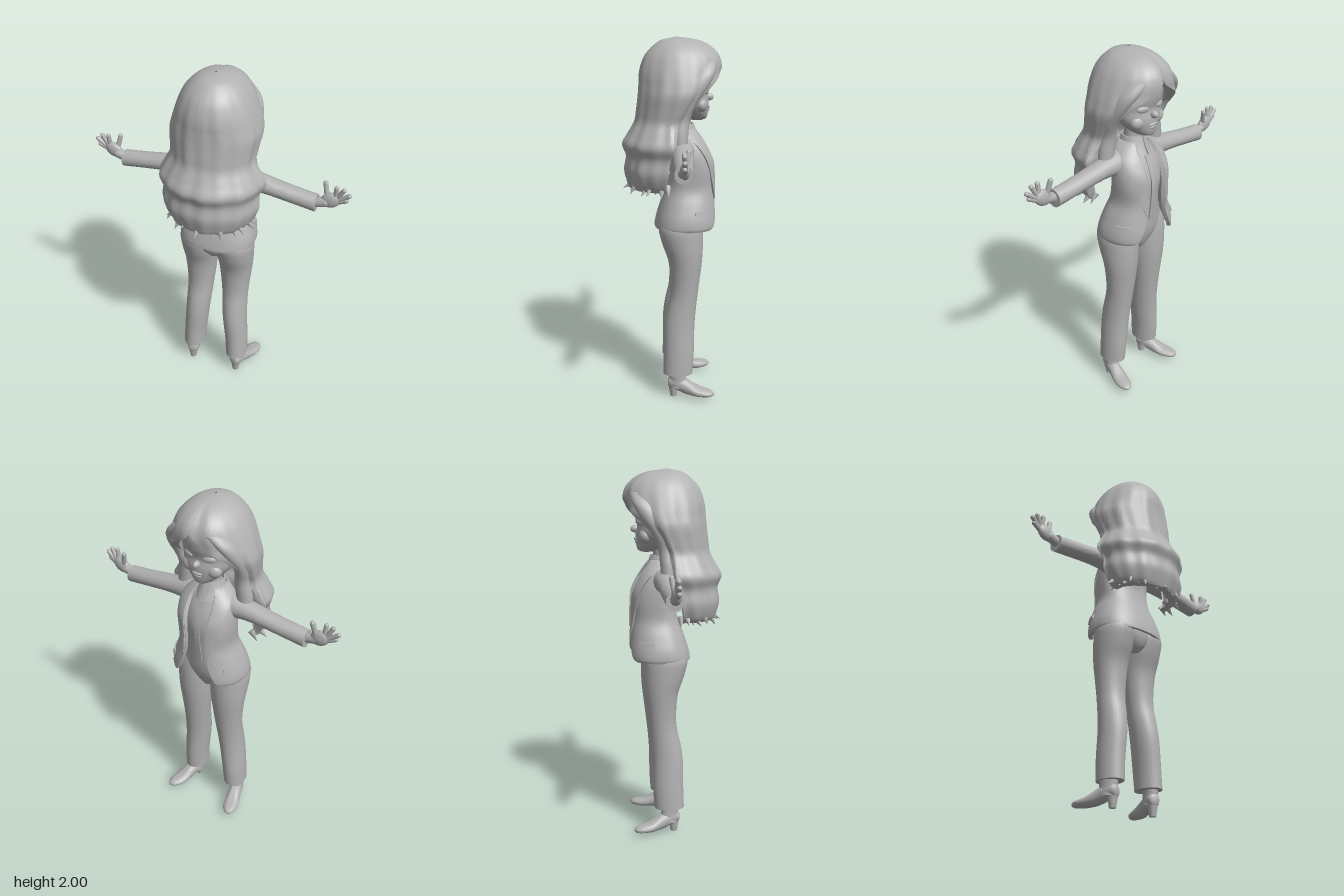
import * as THREE from 'three';
import { toCreasedNormals } from 'three/addons/utils/BufferGeometryUtils.js';

const clay = new THREE.MeshStandardMaterial({ color: 0xb2b2b2 });
clay.name = 'warm grey clay';
const RAD = Math.PI / 180;

// Smoothly subdivide a table of cross-sections
function refine(rows, n = 5) {
  const out = [], at = i => rows[Math.max(0, Math.min(rows.length - 1, i))];
  for (let i = 0; i < rows.length - 1; i++) for (let k = 0; k < n; k++) {
    const t = k / n;
    out.push(rows[i].map((b, c) => {
      const a = at(i - 1)[c], d = at(i + 1)[c], e = at(i + 2)[c];
      return b + 0.5 * t * (d - a + t * (2 * a - 5 * b + 4 * d - e + t * (3 * (b - d) + e - a)));
    }));
  }
  out.push(rows[rows.length - 1]);
  return out;
}

// Join closed rings (clockwise from above) listed from bottom to top
function skin(rings, cap) {
  const n = rings[0].length, pos = rings.flat(2), idx = [];
  for (let r = 0; r < rings.length - 1; r++) for (let i = 0; i < n; i++) {
    const a = r * n + i, b = r * n + (i + 1) % n;
    idx.push(a, a + n, b, b, a + n, b + n);
  }
  cap(idx, n, (rings.length - 1) * n);
  const g = new THREE.BufferGeometry();
  g.setAttribute('position', new THREE.Float32BufferAttribute(pos, 3));
  g.setIndex(idx);
  return toCreasedNormals(g, 0.9);
}

// Solid limb; rows are [y, cx, cz, rx, rz]
function loft(rows, sides = 28) {
  const rings = refine(rows).map(([y, cx, cz, rx, rz]) =>
    Array.from({ length: sides }, (_, i) => {
      const a = i / sides * Math.PI * 2;
      return [cx + rx * Math.sin(a), y, cz - rz * Math.cos(a)];
    }));
  return skin(rings, (idx, n, top) => {
    for (let i = 1; i < n - 1; i++) idx.push(0, i, i + 1, top, top + i + 1, top + i);
  });
}

// Thick curved sheet; rows are [y, rx, cz, back depth, front depth, start, end],
// angles in degrees from the front (-z) toward +x
function shell(rows, inner, warp = () => 1, power = 1, steps = 72) {
  const round = v => Math.sign(v) * Math.abs(v) ** power;
  const rings = refine(rows).map(([y, rx, cz, rb, rf, a0, a1]) => {
    const arc = Array.from({ length: steps + 1 }, (_, i) => {
      const a = (a0 + (a1 - a0) * i / steps) * RAD, w = warp(a, y);
      return [rx * w * round(Math.sin(a)), y, -round(Math.cos(a)) * w * (Math.cos(a) > 0 ? rf : rb)];
    });
    const inside = arc.map(([x, h, z]) => [x * inner, h, z * inner]).reverse();
    return [...arc, ...inside].map(([x, h, z]) => [x, h, z + cz]);
  });
  return skin(rings, (idx, n, top) => {
    for (let i = 0; i < steps; i++) {
      const a = i, b = i + 1, c = n - 1 - i, d = n - 2 - i;
      idx.push(a, b, c, b, d, c, top + a, top + c, top + b, top + b, top + c, top + d);
    }
  });
}

function add(parent, name, geo, x = 0, y = 0, z = 0) {
  const m = new THREE.Mesh(geo, clay);
  m.name = name;
  m.position.set(x, y, z);
  parent.add(m);
  return m;
}

function ball(parent, name, p, s) {
  const m = add(parent, name, new THREE.SphereGeometry(1, 24, 16), ...p);
  m.scale.set(...s);
  return m;
}

// Rounded rod between two points
function rod(parent, name, p, q, r) {
  const a = new THREE.Vector3(...p), b = new THREE.Vector3(...q), d = b.clone().sub(a);
  const m = add(parent, name, new THREE.CapsuleGeometry(r, d.length(), 5, 10));
  m.position.copy(a).add(b).multiplyScalar(0.5);
  m.quaternion.setFromUnitVectors(new THREE.Vector3(0, 1, 0), d.normalize());
}

// Everything that exists once on each side
function buildSide(side) {
  const g = new THREE.Group();
  g.name = side > 0 ? 'rightSide' : 'leftSide';
  g.scale.x = side;

  add(g, 'trouserLeg', loft([
    [0.14, 0.14, -0.035, 0.064, 0.083], [0.25, 0.135, -0.04, 0.066, 0.085], [0.4, 0.122, -0.042, 0.07, 0.086],
    [0.5, 0.115, -0.052, 0.073, 0.083], [0.6, 0.11, -0.068, 0.077, 0.078], [0.7, 0.108, -0.075, 0.086, 0.083],
    [0.8, 0.108, -0.075, 0.097, 0.094], [0.9, 0.107, -0.06, 0.107, 0.113], [0.99, 0.105, -0.05, 0.108, 0.12],
    [1.06, 0.085, -0.06, 0.09, 0.1]]));

  const shoe = new THREE.Group();
  shoe.name = 'shoe';
  shoe.position.set(0.145, 0, -0.01);
  shoe.rotation.y = -0.3;
  g.add(shoe);
  add(shoe, 'ankle', loft([[0.06, 0, -0.03, 0.038, 0.052], [0.11, 0, -0.025, 0.036, 0.05], [0.18, 0, -0.02, 0.038, 0.05]]));
  add(shoe, 'shoeBody', loft([
    [-0.03, 0, 0.085, 0.012, 0.015], [-0.02, 0, 0.085, 0.03, 0.035], [0.02, 0, 0.085, 0.037, 0.045],
    [0.08, 0, 0.064, 0.038, 0.043], [0.14, 0, 0.045, 0.044, 0.029], [0.19, 0, 0.04, 0.04, 0.021],
    [0.22, 0, 0.038, 0.026, 0.016], [0.235, 0, 0.037, 0.008, 0.006]]).rotateX(-Math.PI / 2));
  add(shoe, 'heel', new THREE.CylinderGeometry(0.03, 0.018, 0.075, 16), 0, 0.0375, 0);

  // Sleeve runs outward along x
  add(g, 'sleeve', loft([
    [0.07, -1.405, -0.06, 0.075, 0.075], [0.13, -1.412, -0.057, 0.068, 0.066], [0.2, -1.412, -0.055, 0.055, 0.058],
    [0.3, -1.4, -0.052, 0.047, 0.054], [0.42, -1.383, -0.05, 0.045, 0.05], [0.555, -1.366, -0.047, 0.047, 0.046]
  ]).rotateZ(-Math.PI / 2));

  const hand = new THREE.Group();
  hand.name = 'hand';
  g.add(hand);
  rod(hand, 'wrist', [0.53, 1.367, -0.045], [0.6, 1.385, -0.047], 0.027);
  ball(hand, 'palm', [0.625, 1.4, -0.05], [0.055, 0.042, 0.024]).rotation.z = 0.45;
  [[0.648, 1.425, 0.652, 1.482], [0.66, 1.423, 0.69, 1.478], [0.668, 1.412, 0.72, 1.452], [0.66, 1.397, 0.708, 1.421]]
    .forEach(([x, y, u, v]) => rod(hand, 'finger', [x, y, -0.05], [u, v, -0.045], 0.0125));
  rod(hand, 'thumb', [0.605, 1.41, -0.055], [0.588, 1.484, -0.068], 0.0135);

  // Lapel, shirt collar and pocket flap
  add(g, 'lapel', shell([
    [1.14, 0.184, -0.085, 0.13, 0.163, 20, 23], [1.25, 0.168, -0.095, 0.11, 0.15, 20, 38],
    [1.35, 0.172, -0.095, 0.1, 0.142, 22, 50], [1.42, 0.168, -0.08, 0.09, 0.124, 24, 58],
    [1.47, 0.14, -0.068, 0.085, 0.105, 28, 75], [1.52, 0.085, -0.058, 0.075, 0.078, 34, 110]], 0.92, undefined, 0.85, 16));
  add(g, 'shirtCollar', shell([
    [1.45, 0.085, -0.06, 0.07, 0.106, 8, 34], [1.5, 0.075, -0.06, 0.066, 0.08, 7, 80],
    [1.545, 0.062, -0.06, 0.06, 0.064, 12, 180]], 0.9, undefined, 1, 20));
  add(g, 'pocketFlap', shell([
    [1.065, 0.212, -0.075, 0.15, 0.183, 48, 78], [1.09, 0.206, -0.078, 0.147, 0.176, 48, 78]], 0.95, undefined, 0.85, 14));

  // Face details and the lock beside the cheek
  ball(g, 'eyelid', [0.062, 1.722, -0.184], [0.034, 0.018, 0.012]).rotation.y = -0.35;
  ball(g, 'cheek', [0.07, 1.65, -0.155], [0.045, 0.04, 0.035]);
  add(g, 'sideLock', loft([
    [1.36, 0.165, -0.045, 0.012, 0.012], [1.43, 0.185, -0.045, 0.04, 0.035], [1.5, 0.18, -0.045, 0.045, 0.04],
    [1.58, 0.172, -0.055, 0.038, 0.04], [1.66, 0.185, -0.08, 0.035, 0.045], [1.75, 0.178, -0.13, 0.036, 0.055],
    [1.82, 0.145, -0.165, 0.045, 0.06], [1.88, 0.085, -0.175, 0.05, 0.065]], 16));
  return g;
}

export function createModel() {
  const model = new THREE.Group();
  model.name = 'standingWoman';
  model.add(buildSide(1), buildSide(-1));

  // Hips, shirt and open jacket
  add(model, 'hips', loft([
    [0.885, 0, -0.06, 0.04, 0.08], [0.93, 0, -0.055, 0.12, 0.105], [1.0, 0, -0.06, 0.19, 0.12], [1.12, 0, -0.08, 0.15, 0.11]]));
  add(model, 'shirt', loft([
    [1.06, 0, -0.08, 0.15, 0.112], [1.2, 0, -0.095, 0.125, 0.105], [1.3, 0, -0.1, 0.135, 0.108],
    [1.38, 0, -0.09, 0.135, 0.1], [1.45, 0, -0.07, 0.12, 0.085], [1.5, 0, -0.06, 0.075, 0.068], [1.53, 0, -0.06, 0.05, 0.05]]));
  add(model, 'shirtPlacket', shell([
    [1.08, 0.15, -0.08, 0.1, 0.118, -6, 6], [1.3, 0.14, -0.1, 0.1, 0.114, -6, 6],
    [1.45, 0.125, -0.07, 0.08, 0.092, -7, 7]], 0.94, undefined, 1, 8));
  add(model, 'jacket', shell([
    [0.98, 0.212, -0.07, 0.162, 0.178, 42, 318], [1.0, 0.217, -0.07, 0.16, 0.184, 32, 328],
    [1.05, 0.21, -0.072, 0.15, 0.18, 25, 335], [1.12, 0.187, -0.08, 0.135, 0.164, 20, 340],
    [1.2, 0.158, -0.09, 0.115, 0.148, 19, 341], [1.3, 0.162, -0.098, 0.1, 0.138, 20, 340],
    [1.38, 0.162, -0.088, 0.092, 0.126, 23, 337], [1.45, 0.148, -0.07, 0.085, 0.102, 26, 334],
    [1.49, 0.11, -0.062, 0.078, 0.085, 30, 330], [1.52, 0.075, -0.058, 0.07, 0.07, 36, 324]], 0.9, undefined, 0.85));

  // Neck and head
  add(model, 'neck', loft([[1.45, 0, -0.06, 0.06, 0.055], [1.54, 0, -0.06, 0.047, 0.047], [1.63, 0, -0.065, 0.05, 0.05]]));
  add(model, 'head', loft([
    [1.562, 0, -0.14, 0.02, 0.03], [1.575, 0, -0.13, 0.05, 0.062], [1.61, 0, -0.11, 0.092, 0.09],
    [1.66, 0, -0.09, 0.132, 0.113], [1.71, 0, -0.075, 0.15, 0.12], [1.77, 0, -0.07, 0.155, 0.14],
    [1.83, 0, -0.065, 0.145, 0.145], [1.9, 0, -0.06, 0.1, 0.11], [1.93, 0, -0.06, 0.02, 0.02]]));
  ball(model, 'nose', [0, 1.685, -0.203], [0.017, 0.02, 0.027]);
  ball(model, 'upperLip', [0, 1.632, -0.2], [0.03, 0.009, 0.011]);
  ball(model, 'lowerLip', [0, 1.617, -0.196], [0.024, 0.009, 0.011]);

  // Long wavy hair with a front parting and soft strands
  const strands = (a, y) => {
    const off = (a + 0.22 + Math.PI) % (2 * Math.PI) - Math.PI;
    const part = y > 1.8 ? 0.09 * Math.exp(-25 * off * off) : 0;
    const grow = THREE.MathUtils.clamp((2 - y) * 4, 0, 1);
    return 1 - part + grow * (0.012 * Math.sin(9 * a + 5 * y) + 0.009 * Math.sin(17 * a - 4 * y));
  };
  add(model, 'hair', shell([
    [1.2, 0.215, 0.04, 0.19, 0.05, 80, 280], [1.23, 0.24, 0.04, 0.2, 0.05, 80, 280],
    [1.3, 0.265, 0.03, 0.225, 0.06, 80, 280], [1.375, 0.262, 0.02, 0.225, 0.06, 78, 282],
    [1.44, 0.288, 0, 0.265, 0.06, 72, 288], [1.5, 0.262, 0, 0.232, 0.07, 66, 294],
    [1.56, 0.23, 0, 0.2, 0.1, 62, 298], [1.62, 0.234, -0.02, 0.21, 0.12, 60, 300],
    [1.7, 0.243, -0.04, 0.22, 0.18, 50, 310], [1.76, 0.23, -0.05, 0.225, 0.215, 40, 320],
    [1.81, 0.213, -0.05, 0.222, 0.22, 24, 336], [1.86, 0.192, -0.05, 0.21, 0.222, 3, 357],
    [1.91, 0.165, -0.05, 0.187, 0.205, 0, 360], [1.955, 0.125, -0.045, 0.14, 0.165, 0, 360],
    [1.985, 0.075, -0.035, 0.085, 0.11, 0, 360], [2.0, 0.006, -0.03, 0.006, 0.01, 0, 360]], 0.8, strands, 1, 120));

  // Flicked tips along the lower edge
  for (let i = 0; i < 19; i++) {
    const a = (84 + i * 192 / 18) * RAD, out = 1 + 0.1 * Math.sin(i * 2.3);
    const tip = add(model, 'hairTip', new THREE.ConeGeometry(0.02, 0.065, 8),
      0.22 * out * Math.sin(a), 1.208 + 0.008 * Math.sin(i * 4.1), 0.04 - 0.18 * out * Math.cos(a));
    tip.quaternion.setFromUnitVectors(new THREE.Vector3(0, 1, 0),
      new THREE.Vector3(Math.sin(a) * 0.7, -0.7 + 0.3 * Math.sin(i * 3), -Math.cos(a) * 0.7).normalize());
  }
  return model;
}
